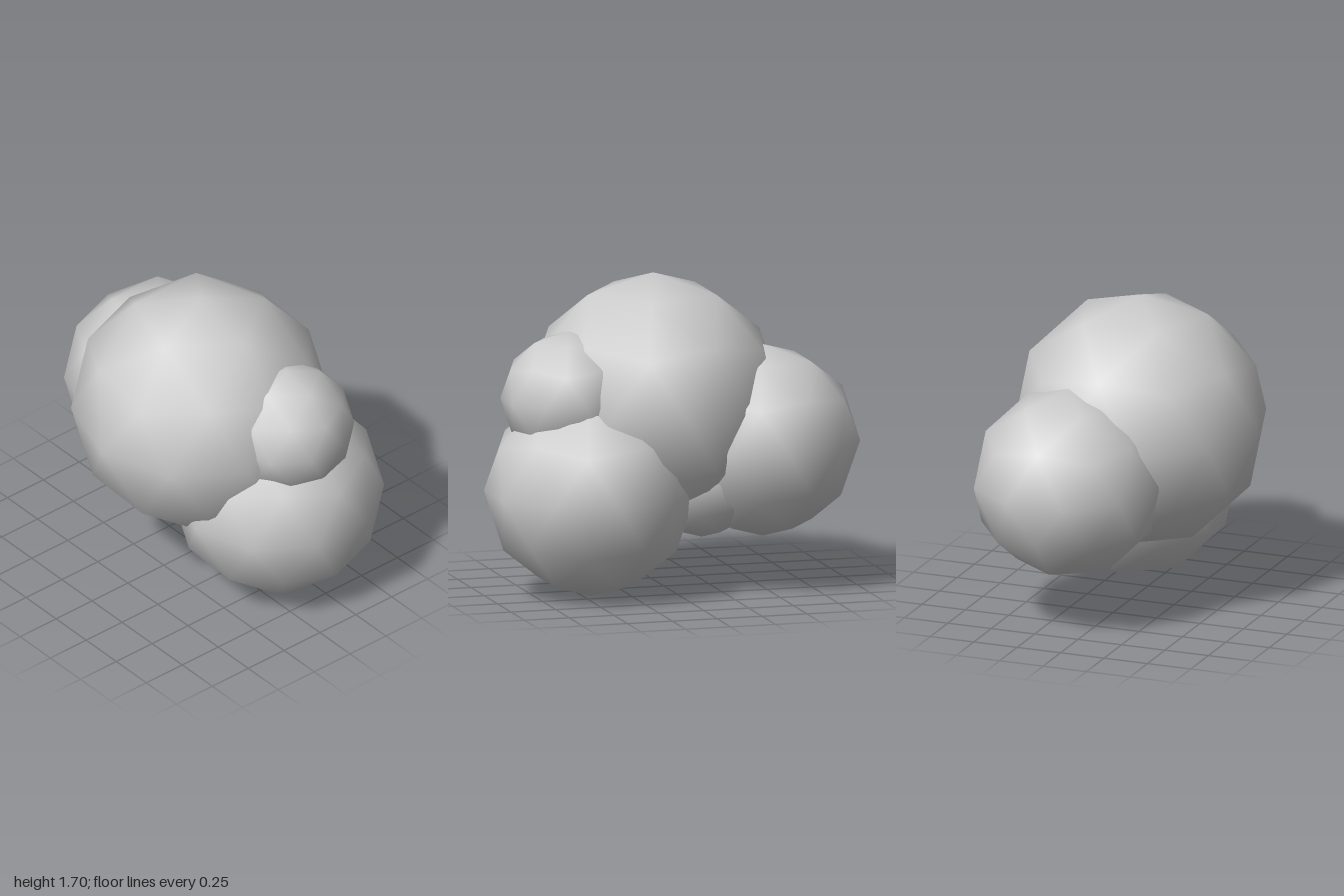
import * as THREE from 'three';

// Pole-up icosphere of 80 faces with smooth radial normals
function lobeGeometry(radius) {
  const golden = (1 + Math.sqrt(5)) / 2;
  const geometry = new THREE.IcosahedronGeometry(radius, 1);
  geometry.rotateZ(-Math.atan(1 / golden));
  return geometry;
}

export function createModel() {
  const group = new THREE.Group();
  group.name = 'roundedClump';
  const material = new THREE.MeshStandardMaterial({ color: 0xcccccc });

  // Overlapping lobes: name, radius, centre
  const lobes = [
    ['mainLobe', 0.695, [0.05, 1.005, 0.033]],
    ['lowerLeftLobe', 0.57, [0.456, 0.57, -0.161]],
    ['rightLobe', 0.52, [-0.505, 0.795, -0.155]],
    ['upperLeftLobe', 0.363, [0.57, 1.072, -0.127]],
    ['bottomLobe', 0.32, [-0.16, 0.61, -0.17]],
  ];
  for (const [name, radius, centre] of lobes) {
    const lobe = new THREE.Mesh(lobeGeometry(radius), material);
    lobe.name = name;
    lobe.position.set(...centre);
    group.add(lobe);
  }
  return group;
}
